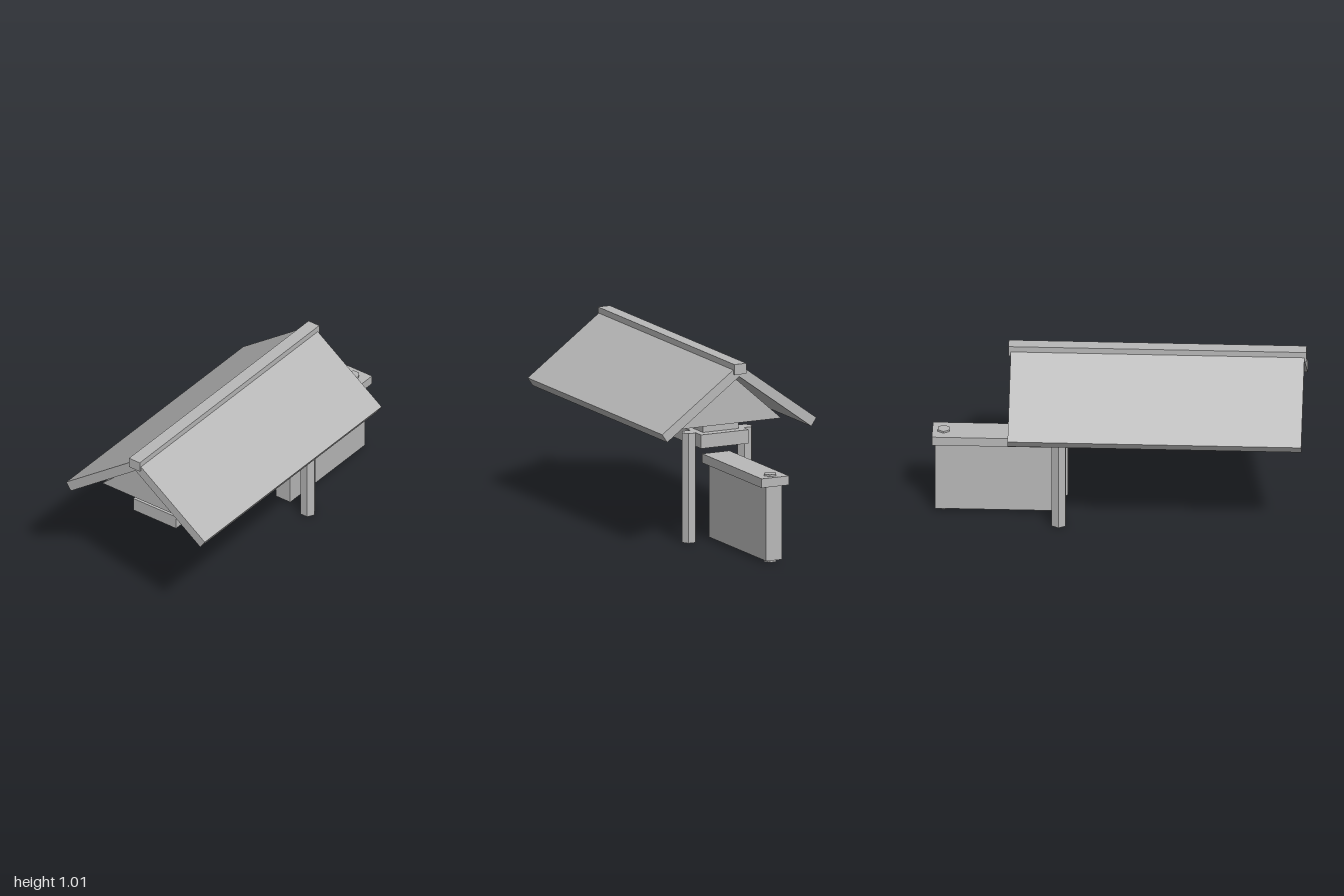
import * as THREE from 'three';

export function createModel() {
  const model = new THREE.Group();
  const grey = new THREE.MeshStandardMaterial({ color: 0xb8b8b8 });
  grey.name = 'plain grey';

  const add = (name, geometry) => {
    const mesh = new THREE.Mesh(geometry, grey);
    mesh.name = name;
    model.add(mesh);
    return mesh;
  };

  // Box given by its x and y ranges, centred on z = 0
  const block = (name, x0, x1, y0, y1, halfDepth) =>
    add(name, new THREE.BoxGeometry(x1 - x0, y1 - y0, halfDepth * 2))
      .position.set((x0 + x1) / 2, (y0 + y1) / 2, 0);

  // Six-sided upright with corners pointing along z
  const hexPost = (name, radius, height, x, z) => {
    const g = new THREE.CylinderGeometry(radius, radius, height, 6).toNonIndexed();
    g.computeVertexNormals();
    add(name, g).position.set(x, height / 2, z);
  };

  // Cross-section of [z, y] points, extruded along x
  const prism = (name, points, x0, x1) => {
    const shape = new THREE.Shape(points.map(([z, y]) => new THREE.Vector2(-z, y)));
    const g = new THREE.ExtrudeGeometry(shape, { depth: x1 - x0, bevelEnabled: false });
    g.rotateY(Math.PI / 2);
    add(name, g).position.x = x0;
  };

  // Roof: ridge beam, two sloping slabs and the solid gable core
  block('ridgeBeam', -1, 0.593, 0.953, 1.01, 0.036);
  for (const [side, s] of [['front', 1], ['back', -1]]) {
    prism(side + 'RoofSlab',
      [[0, 1.004], [0.463 * s, 0.667], [0.433 * s, 0.622], [0, 0.938]], -0.99, 0.58);
  }
  prism('gableCore',
    [[0, 0.933], [0.308, 0.661], [0.308, 0.656], [-0.308, 0.656], [-0.308, 0.661]], -0.87, 0.46);

  // Beams below the roof
  block('upperBeam', -0.778, 0.362, 0.6, 0.656, 0.106);
  block('lowerBeam', -0.82, 0.412, 0.525, 0.6, 0.143);

  // Pair of gate posts
  hexPost('frontPost', 0.0425, 0.6, 0.318, 0.168);
  hexPost('backPost', 0.0425, 0.6, 0.318, -0.168);

  // Low side wall with its cap and end post
  block('wallPanel', 0.32, 0.985, 0.013, 0.42, 0.047);
  block('wallCap', 0.305, 1, 0.42, 0.47, 0.082);
  hexPost('wallPost', 0.036, 0.48, 0.94, 0);

  return model;
}
